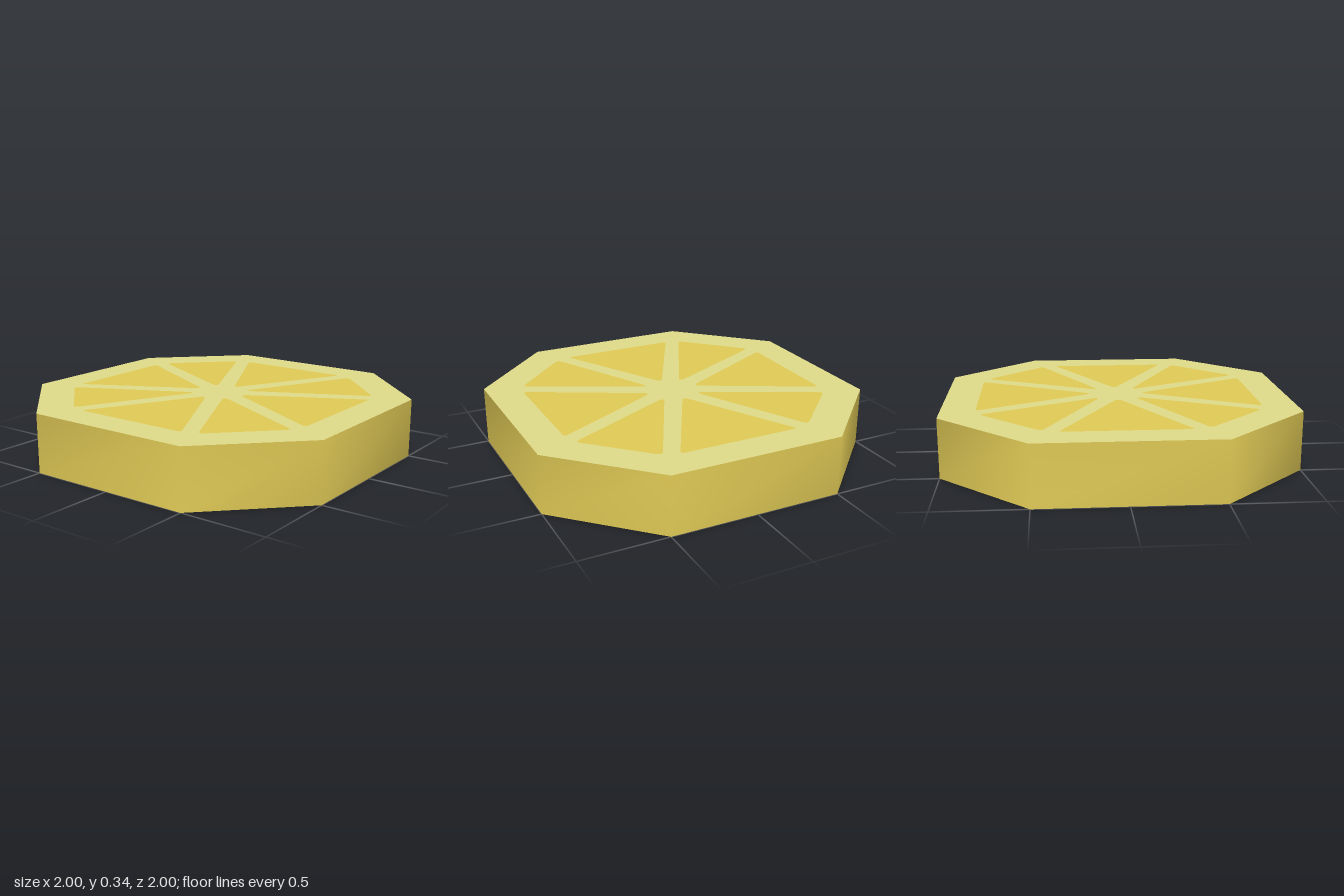
import * as THREE from 'three';

const HEIGHT = 0.34;

// Octagon outline with long straight sides and shorter bevelled corners
const OUTLINE = [[1, -0.5], [1, 0.5], [0.5, 1], [-0.5, 1], [-1, 0.5], [-1, -0.5], [-0.5, -1], [0.5, -1]];

// Flesh wedges with softened corners: one facing a straight side, one facing a bevel
const STRAIGHT_WEDGE = [[0, 0.16], [0.013, 0.167], [0.03, 0.195], [0.338, 0.778], [0.345, 0.795], [0.333, 0.805],
  [-0.333, 0.805], [-0.345, 0.795], [-0.338, 0.778], [-0.03, 0.195], [-0.013, 0.167]];
const BEVEL_WEDGE = [[0.117, 0.117], [0.132, 0.115], [0.152, 0.124], [0.752, 0.424], [0.768, 0.44], [0.76, 0.458],
  [0.458, 0.76], [0.44, 0.768], [0.424, 0.752], [0.124, 0.152], [0.115, 0.132]];

const toVectors = (points) => points.map(([x, y]) => new THREE.Vector2(x, y));

// Repeat both wedges by quarter turns
function wedgeOutlines() {
  const wedges = [];
  for (let i = 0; i < 4; i++) {
    for (const wedge of [STRAIGHT_WEDGE, BEVEL_WEDGE]) {
      wedges.push(toVectors(wedge).map((p) => p.rotateAround(new THREE.Vector2(), i * Math.PI / 2)));
    }
  }
  return wedges;
}

// Smoothly shaded wall around the outline
function wallGeometry() {
  const positions = [];
  const index = [];
  const n = OUTLINE.length;
  OUTLINE.forEach(([x, y], i) => {
    positions.push(x, 0, -y, x, HEIGHT, -y);
    const a = 2 * i;
    const b = 2 * ((i + 1) % n);
    index.push(a, b, b + 1, a, b + 1, a + 1);
  });
  const geometry = new THREE.BufferGeometry();
  geometry.setAttribute('position', new THREE.Float32BufferAttribute(positions, 3));
  geometry.setIndex(index);
  geometry.computeVertexNormals();
  return geometry;
}

export function createModel() {
  const rindMaterial = new THREE.MeshStandardMaterial({ color: 0xdfc955 });
  rindMaterial.name = 'lemonYellow';
  const pithMaterial = new THREE.MeshStandardMaterial({ color: 0xdfda88 });
  pithMaterial.name = 'palePith';

  const slice = new THREE.Group();
  slice.name = 'citrusSlice';

  const rind = new THREE.Mesh(wallGeometry(), rindMaterial);
  rind.name = 'rind';
  slice.add(rind);

  // Pith has wedge-shaped openings that the flesh fills flush
  const wedges = wedgeOutlines();
  const pithShape = new THREE.Shape(toVectors(OUTLINE));
  pithShape.holes = wedges.map((w) => new THREE.Path(w));
  const fleshShapes = wedges.map((w) => new THREE.Shape(w));

  // Cut faces on the top and the bottom
  for (const [side, y, turn] of [['top', HEIGHT, -Math.PI / 2], ['bottom', 0, Math.PI / 2]]) {
    const face = new THREE.Group();
    face.name = side + 'Face';
    face.position.y = y;
    face.rotation.x = turn;
    const pith = new THREE.Mesh(new THREE.ShapeGeometry(pithShape), pithMaterial);
    pith.name = side + 'Pith';
    const flesh = new THREE.Mesh(new THREE.ShapeGeometry(fleshShapes), rindMaterial);
    flesh.name = side + 'FleshWedges';
    face.add(pith, flesh);
    slice.add(face);
  }
  return slice;
}
